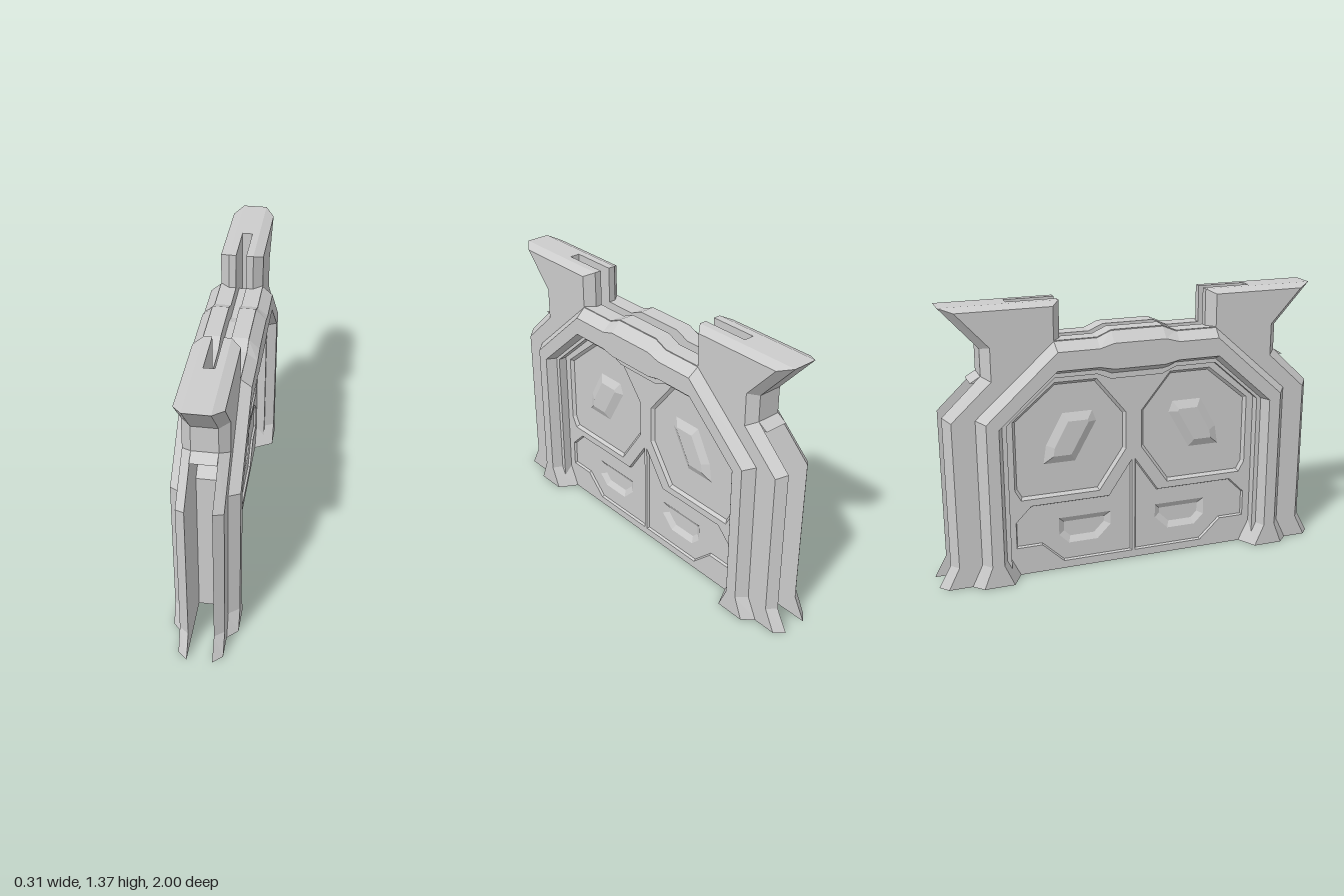
import * as THREE from 'three';

const material = new THREE.MeshStandardMaterial({ color: 0xcccccc, flatShading: true });

// Outlines are lists of [z, y]; they lie in planes of constant x.
const flip = (pts) => pts.map(([z, y]) => [-z, y]);
const mirrored = (half) => [...half, ...flip(half).reverse()];
const area = (p) => p.reduce((s, [z, y], i) => {
  const [z2, y2] = p[(i + 1) % p.length];
  return s + (-z * y2 + z2 * y) / 2;
}, 0);
const ccw = (p) => (area(p) < 0 ? [...p].reverse() : p);

// Shrinks an outline evenly by d
function inset(outline, d) {
  const p = ccw(outline);
  const normal = (a, b) => {
    const du = a[0] - b[0], dv = b[1] - a[1], l = Math.hypot(du, dv);
    return [-dv / l, du / l];
  };
  return p.map((q, i) => {
    const n = normal(p[(i + p.length - 1) % p.length], q);
    const m = normal(q, p[(i + 1) % p.length]);
    const k = d / (1 + n[0] * m[0] + n[1] * m[1]);
    return [q[0] - (n[0] + m[0]) * k, q[1] + (n[1] + m[1]) * k];
  });
}

function toMesh(name, positions) {
  const geometry = new THREE.BufferGeometry();
  geometry.setAttribute('position', new THREE.Float32BufferAttribute(positions, 3));
  geometry.computeVertexNormals();
  const mesh = new THREE.Mesh(geometry, material);
  mesh.name = name;
  return mesh;
}

function addQuad(out, a, b, c, d) {
  out.push(...a, ...b, ...c, ...a, ...c, ...d);
}

// Flat face at x, looking along dir (+1 or -1), with optional holes
function addCap(out, outline, x, dir, holes = []) {
  const vec = (p) => p.map(([z, y]) => new THREE.Vector2(-z, y));
  const contour = vec(ccw(outline));
  const inner = holes.map((h) => vec(ccw(h)).reverse());
  const all = [contour, ...inner].flat();
  for (const f of THREE.ShapeUtils.triangulateShape(contour, inner)) {
    const [a, b, c] = f.map((i) => all[i]);
    const turn = (b.x - a.x) * (c.y - a.y) - (b.y - a.y) * (c.x - a.x);
    for (const v of turn * dir > 0 ? [a, b, c] : [a, c, b]) out.push(x, v.y, -v.x);
  }
}

// Joins outlines [x, points] in order, with optional faces at the two ends
function loft(name, rings, { start = false, end = true, closed = true, holes = [] } = {}) {
  const out = [];
  const rows = rings.map(([x, p]) => ccw(p).map(([z, y]) => [x, y, z]));
  for (let r = 0; r + 1 < rows.length; r++) {
    const a = rows[r], b = rows[r + 1], n = a.length;
    for (let i = 0; i < (closed ? n : n - 1); i++) {
      const j = (i + 1) % n;
      addQuad(out, a[i], a[j], b[j], b[i]);
    }
  }
  if (start) addCap(out, rings[0][1], rings[0][0], -1);
  if (end) addCap(out, rings.at(-1)[1], rings.at(-1)[0], 1, holes);
  if (!closed && rows.length === 4) {
    // feet of an open arch
    const [a, b, c, d] = rows.map((r) => r[0]);
    const [e, f, g, h] = rows.map((r) => r.at(-1));
    const flipFirst = a[2] > 0;
    if (flipFirst) { addQuad(out, d, c, b, a); addQuad(out, e, f, g, h); }
    else { addQuad(out, a, b, c, d); addQuad(out, h, g, f, e); }
  }
  return toMesh(name, out);
}

// Half outlines, from the foot to the middle of the arch
const towerOuter = [[0.75, 1.04], [0.75, 1.17], [0.93, 1.37], [0.37, 1.37], [0.37, 1.19]];
const crown = [[0.2, 1.19], [0.13, 1.22]];
const slabOuter = [[1, 0], [0.94, 0.11], [0.94, 0.86], ...towerOuter, ...crown];
const slabInset = [[0.96, 0], [0.905, 0.11], [0.905, 0.84], [0.71, 1.02], [0.71, 1.18],
  [0.865, 1.35], [0.41, 1.35], [0.41, 1.19], ...crown];
const panelEdge = [[0.647, 0], [0.647, 0.8], [0.41, 1.01], [0.2, 1.01], [0.13, 0.98]];

const archRows = [
  [0.1, [[0.85, 0], [0.797, 0.11], [0.797, 0.845], [0.41, 1.19], [0.2, 1.19], [0.13, 1.22]]],
  [0.155, [[0.797, 0], [0.754, 0.11], [0.754, 0.83], [0.405, 1.145], [0.2, 1.145], [0.13, 1.165]]],
  [0.155, [[0.647, 0], [0.695, 0.11], [0.695, 0.8], [0.41, 1.055], [0.2, 1.055], [0.13, 1.04]]],
  [0.06, [[0.594, 0], [0.647, 0.11], [0.647, 0.8], [0.41, 1.01], [0.2, 1.01], [0.13, 0.98]]],
];

// Panel decoration, +z half
const octagon = [[0.61, 0.8], [0.4, 0.975], [0.19, 0.975], [0.04, 0.79], [0.04, 0.6],
  [0.18, 0.395], [0.58, 0.395], [0.61, 0.45]];
const boss = [[0.36, 0.815], [0.21, 0.815], [0.19, 0.76], [0.3, 0.565], [0.46, 0.565], [0.445, 0.66]];
const lowerField = [[0.61, 0.28], [0.53, 0.36], [0.13, 0.36], [0.008, 0.54], [0.008, 0.04],
  [0.37, 0.04], [0.48, 0.145], [0.61, 0.145]];
const tray = [[0.39, 0.27], [0.12, 0.27], [0.12, 0.2], [0.19, 0.13], [0.34, 0.13], [0.39, 0.18]];

function createSide() {
  const side = new THREE.Group();
  side.name = 'gateSide';

  // Outer slab: flared fins, pillars and towers with bevelled rims
  const inner = mirrored(panelEdge).reverse();
  side.add(loft('sideSlab', [
    [0.06, [...mirrored(slabOuter), ...inner]],
    [0.105, [...mirrored(slabInset), ...inner]],
  ], { start: true }));

  // Upper lip beside the central groove
  const lip = mirrored([[0.41, 1], [0.8, 1.01], ...towerOuter, ...crown]);
  side.add(loft('upperLip', [[0.025, lip], [0.06, lip]], { start: true }));

  // Raised arch with bevels on both edges
  side.add(loft('arch', archRows.map(([x, half]) => [x, mirrored(half)]), { closed: false, end: false }));

  // Panel face and its sunken fields
  const holes = [octagon, flip(octagon), lowerField, flip(lowerField)];
  const face = [];
  addCap(face, mirrored(panelEdge), 0.06, 1, holes);
  side.add(toMesh('panelFace', face));

  for (const m of [(p) => p, flip]) {
    const b = m(boss), t = m(tray);
    side.add(loft('upperField', [[0.06, m(octagon)], [0.045, inset(m(octagon), 0.014)]], { holes: [b] }));
    side.add(loft('upperBoss', [[0.045, ccw(b)], [0.065, inset(b, 0.04)]]));
    side.add(loft('lowerField', [[0.06, m(lowerField)], [0.048, inset(m(lowerField), 0.006)]], { holes: [t] }));
    side.add(loft('lowerTray', [[0.048, ccw(t)], [0.03, inset(t, 0.03)]]));
  }
  return side;
}

export function createModel() {
  const gate = new THREE.Group();
  gate.name = 'gate';

  // Two identical sides, back to back
  const right = createSide();
  const left = createSide();
  right.rotation.y = Math.PI;
  gate.add(left, right);

  // Edge of the panel between the sides
  const edge = mirrored(panelEdge);
  gate.add(loft('panelEdge', [[-0.06, edge], [0.06, edge]], { end: false }));

  // Floor of the groove along the top
  const groove = mirrored([[0.61, 0.99], [0.61, 1.02], [0.49, 1.12], [0.2, 1.12], [0.13, 1.14]]);
  gate.add(loft('grooveFloor', [[-0.025, groove], [0.025, groove]], { start: true }));

  // Solid outer part of each tower, closing the slot
  const core = [[0.61, 1], [0.8, 1.01], ...towerOuter.slice(0, 3), [0.61, 1.37]];
  for (const p of [core, flip(core)]) {
    gate.add(loft('towerCore', [[-0.025, p], [0.025, p]], { start: true }));
  }
  return gate;
}
